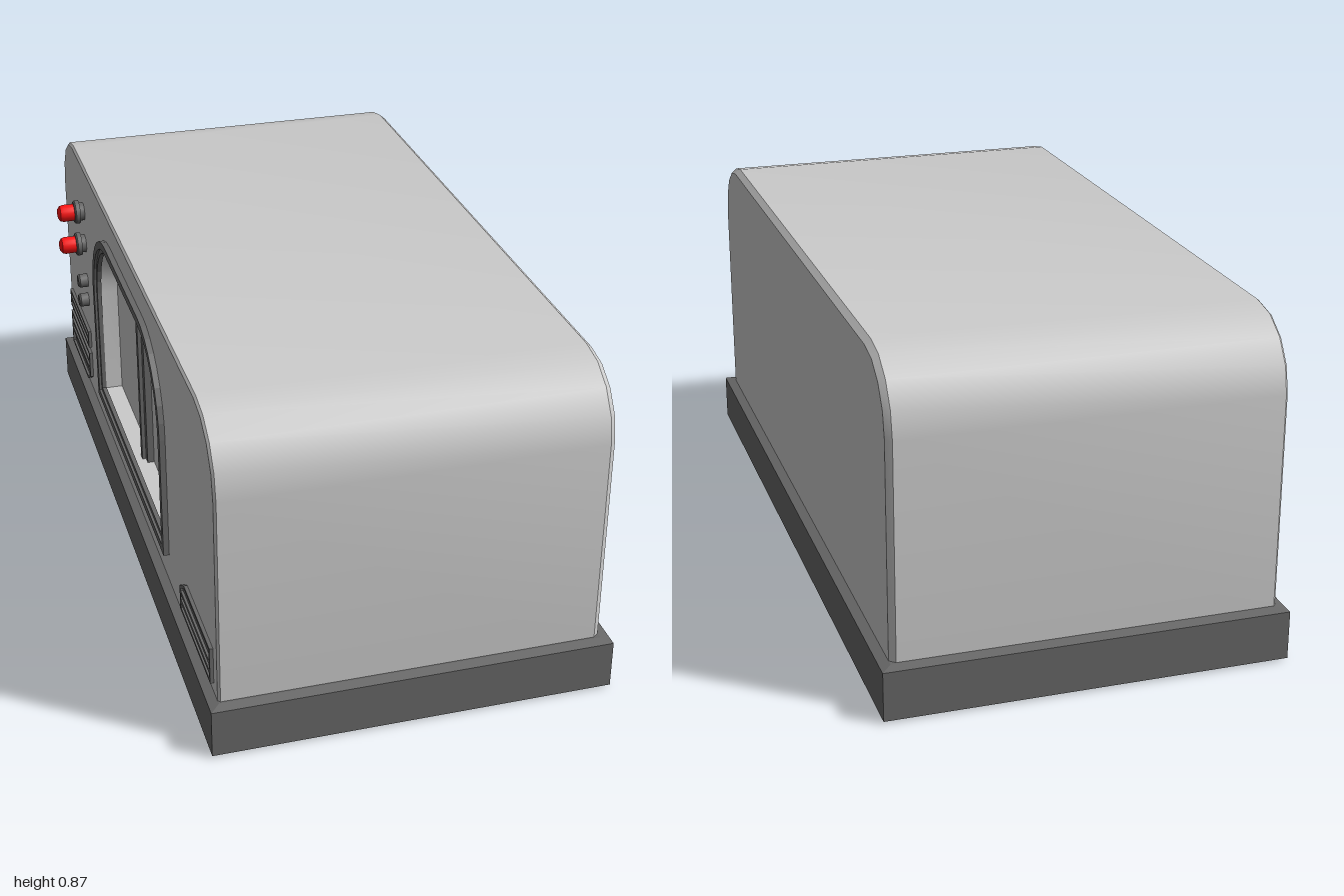
import * as THREE from 'three';
import { toCreasedNormals } from 'three/addons/utils/BufferGeometryUtils.js';

const grey = new THREE.MeshStandardMaterial({ color: 0xcccccc });
const dark = new THREE.MeshStandardMaterial({ color: 0x686868 });
const red = new THREE.MeshStandardMaterial({ color: 0xff1414 });

// Outline points with square bottom corners and rounded top corners
function arch(w, bottom, top, r, seg) {
  const pts = [new THREE.Vector2(-w, bottom), new THREE.Vector2(w, bottom)];
  for (const sideSign of [1, -1]) {
    for (let i = 0; i <= seg; i++) {
      const a = (i / seg + (sideSign < 0 ? 1 : 0)) * Math.PI / 2;
      pts.push(new THREE.Vector2(sideSign * (w - r) + r * Math.cos(a), top - r + r * Math.sin(a)));
    }
  }
  return pts;
}
const bodyOutline = (inset) => arch(0.97 - inset, 0.1, 0.867 - inset, 0.18 - inset, 4);
const windowOutline = (inset) => arch(0.45 - inset, 0.22 + inset, 0.79 - inset, 0.23 - inset, 8);
const toPoints = (pairs) => pairs.map(([x, y]) => new THREE.Vector2(x, y));

// Creases are found on an enlarged copy so that small details stay distinct
function creased(g) {
  return toCreasedNormals(g.scale(100, 100, 100), 0.6).scale(0.01, 0.01, 0.01);
}

// Skin joining outlines placed at successive depths
function loft(rings) {
  const pos = [], idx = [];
  const n = rings[0][0].length;
  for (const [pts, z] of rings) pts.forEach((p) => pos.push(p.x, p.y, z));
  for (let k = 0; k < rings.length - 1; k++) {
    for (let i = 0; i < n; i++) {
      const a = k * n + i, b = k * n + (i + 1) % n;
      idx.push(a, b, b + n, a, b + n, a + n);
    }
  }
  const g = new THREE.BufferGeometry();
  g.setAttribute('position', new THREE.Float32BufferAttribute(pos, 3));
  g.setIndex(idx);
  return creased(g);
}

function add(parent, name, geometry, material, x = 0, y = 0, z = 0) {
  const m = new THREE.Mesh(geometry, material);
  m.name = name;
  m.position.set(x, y, z);
  parent.add(m);
}

function face(pts, hole) {
  const shape = new THREE.Shape(pts);
  if (hole) shape.holes.push(new THREE.Path(hole));
  return shape;
}

function plate(pts, depth, hole) {
  return new THREE.ExtrudeGeometry(face(pts, hole), { depth, bevelEnabled: false });
}

// Turned part pointing outwards from the wall
function turned(profile) {
  return creased(new THREE.LatheGeometry(toPoints(profile), 20).rotateX(Math.PI / 2));
}

// Raised rim with a thin back plate and horizontal slats
function addVent(parent, name, outer, inner, z0, z1, slatHeights) {
  const vent = new THREE.Group();
  vent.name = name;
  add(vent, 'ventBack', plate(toPoints(outer), 0.004), dark, 0, 0, 0.459);
  add(vent, 'ventRim', plate(toPoints(outer), 0.011, toPoints(inner)), dark, 0, 0, 0.459);
  for (const y of slatHeights) {
    add(vent, 'ventSlat', new THREE.BoxGeometry(z1 - z0, 0.011, 0.009), dark, (z0 + z1) / 2, y, 0.465);
  }
  parent.add(vent);
}

export function createModel() {
  const model = new THREE.Group();
  model.name = 'equipmentCabin';

  // Plinth with chamfered top and bottom edges
  const hx = 0.485, hz = 0.975;
  const plinth = new THREE.ExtrudeGeometry(
    face(toPoints([[-hx, -hz], [hx, -hz], [hx, hz], [-hx, hz]])),
    { depth: 0.126, bevelEnabled: true, bevelSize: 0.025, bevelThickness: 0.006, bevelSegments: 1 }
  ).rotateX(-Math.PI / 2);
  add(model, 'plinth', plinth, dark, 0.025, 0.006, 0);

  // Side frame: local x runs along the length, local z points out of the window side
  const side = new THREE.Group();
  side.name = 'cabin';
  side.rotation.y = -Math.PI / 2;
  model.add(side);

  // Shell with a chamfer at each end
  add(side, 'shell', loft([
    [bodyOutline(0.013), -0.51], [bodyOutline(0), -0.495],
    [bodyOutline(0), 0.455], [bodyOutline(0.006), 0.461],
  ]), grey);
  add(side, 'plainWall', new THREE.ShapeGeometry(face(bodyOutline(0.013))).rotateY(Math.PI), grey, 0, 0, -0.51);
  add(side, 'windowWall', new THREE.ShapeGeometry(face(bodyOutline(0.006), windowOutline(0.03))), grey, 0, 0, 0.461);

  // Recessed window
  add(side, 'windowReveal', loft([[windowOutline(0.03), 0.461], [windowOutline(0.03), 0.41]]), grey);
  add(side, 'windowPane', new THREE.ShapeGeometry(face(windowOutline(0.025))), grey, 0, 0, 0.41);
  add(side, 'windowFrame', plate(windowOutline(0), 0.017, windowOutline(0.022)), dark, 0, 0, 0.459);
  add(side, 'windowInnerFrame', plate(windowOutline(0.02), 0.012, windowOutline(0.034)), dark, 0, 0, 0.457);
  add(side, 'mullion', new THREE.BoxGeometry(0.065, 0.515, 0.018), dark, 0, 0.505, 0.419);
  add(side, 'mullionRib', new THREE.BoxGeometry(0.02, 0.515, 0.012), dark, 0, 0.505, 0.432);

  // Signal lamps
  for (const y of [0.62, 0.722]) {
    const lamp = new THREE.Group();
    lamp.name = 'signalLamp';
    lamp.position.set(-0.64, y, 0.46);
    add(lamp, 'lampCollar', turned([[0.026, 0], [0.026, 0.014], [0.034, 0.014], [0.034, 0.026], [0.03, 0.03], [0.0005, 0.03]]), dark);
    add(lamp, 'lampLens', turned([[0.024, 0.028], [0.025, 0.06], [0.022, 0.07], [0.014, 0.076], [0.0005, 0.078]]), red);
    side.add(lamp);
  }

  // Push buttons
  for (const y of [0.437, 0.5]) {
    add(side, 'pushButton', turned([[0.02, 0], [0.02, 0.024], [0.016, 0.029], [0.0005, 0.029]]), dark, -0.64, y, 0.46);
  }

  // Vents near both ends
  addVent(side, 'upperVent',
    [[-0.93, 0.285], [-0.62, 0.285], [-0.62, 0.338], [-0.93, 0.338]],
    [[-0.92, 0.293], [-0.63, 0.293], [-0.63, 0.33], [-0.92, 0.33]],
    -0.92, -0.63, [0.311]);
  addVent(side, 'lowerVent',
    [[-0.93, 0.155], [-0.67, 0.155], [-0.62, 0.185], [-0.62, 0.265], [-0.93, 0.265]],
    [[-0.92, 0.163], [-0.673, 0.163], [-0.63, 0.189], [-0.63, 0.257], [-0.92, 0.257]],
    -0.92, -0.63, [0.204, 0.23]);
  addVent(side, 'frontVent',
    [[0.61, 0.165], [0.93, 0.165], [0.93, 0.265], [0.66, 0.265], [0.61, 0.235]],
    [[0.62, 0.173], [0.92, 0.173], [0.92, 0.257], [0.663, 0.257], [0.62, 0.231]],
    0.62, 0.92, [0.192, 0.218]);

  return model;
}
